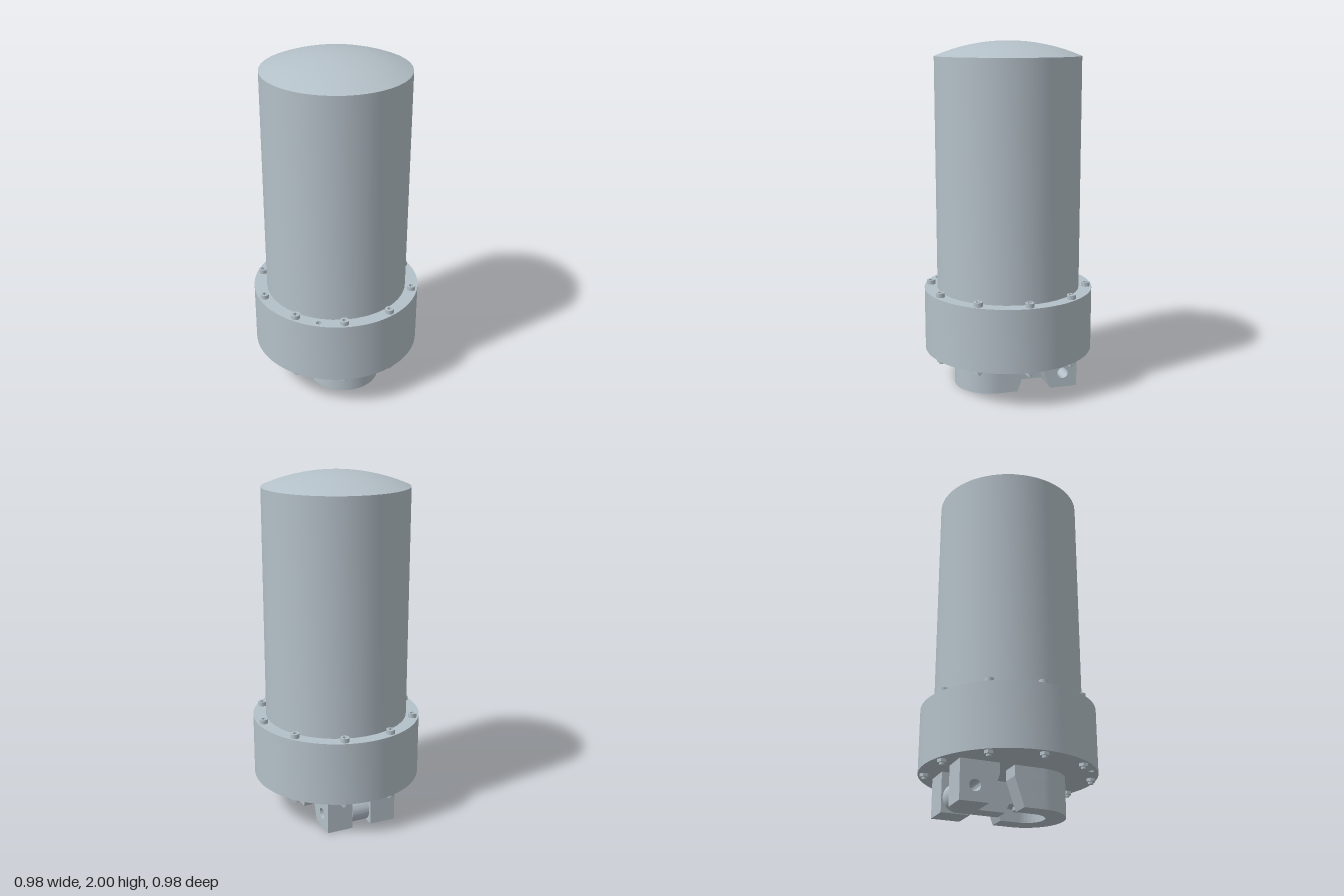
import * as THREE from 'three';
import { toCreasedNormals } from 'three/addons/utils/BufferGeometryUtils.js';

export function createModel() {
  const model = new THREE.Group();
  model.name = 'canisterUnit';
  const steel = new THREE.MeshStandardMaterial({ color: 0xb4c0c8 });
  steel.name = 'pale steel';

  const add = (geometry, name, parent = model) => {
    const mesh = new THREE.Mesh(toCreasedNormals(geometry, 0.5), steel);
    mesh.name = name;
    parent.add(mesh);
    return mesh;
  };
  const circleHole = (x, y, r) => new THREE.Path().absarc(x, y, r, 0, Math.PI * 2, true);

  // Plan shape (x, -z) raised from y0 to y1
  const raise = (shape, y0, y1, segments = 12) =>
    new THREE.ExtrudeGeometry(shape, { depth: y1 - y0, bevelEnabled: false, curveSegments: segments })
      .rotateX(-Math.PI / 2).translate(0, y0, 0);
  // Side profile (z, y) spread across x0 to x1
  const spread = (shape, x0, x1) =>
    new THREE.ExtrudeGeometry(shape, { depth: x1 - x0, bevelEnabled: false, curveSegments: 16 })
      .rotateY(-Math.PI / 2).translate(x1, 0, 0);

  // Tall housing with a shallow domed cap
  const R = 0.415, rise = 0.085, sphere = (R * R + rise * rise) / (2 * rise);
  const profile = [new THREE.Vector2(R, 0.5), new THREE.Vector2(R, 1.915)];
  add(new THREE.LatheGeometry(profile, 40), 'housing');
  const dome = [];
  for (let i = 0; i <= 8; i++) {
    const r = R * (1 - i / 8);
    dome.push(new THREE.Vector2(r, 2 - sphere + Math.sqrt(sphere * sphere - r * r)));
  }
  add(new THREE.LatheGeometry(dome, 40), 'domedCap');

  // Thick collar with one small vent hole
  const collar = new THREE.Shape().absarc(0, 0, 0.49, 0, Math.PI * 2, false);
  collar.holes.push(circleHole(-0.268, -0.366, 0.015));
  add(raise(collar, 0.22, 0.585, 48), 'collar');

  // Ten socket-head bolts with nuts and shank tips below
  const head = new THREE.Shape().absarc(0, 0, 0.025, 0, Math.PI * 2, false);
  const socket = new THREE.Path();
  for (let i = 0; i < 6; i++) {
    const a = -i * Math.PI / 3;
    socket[i ? 'lineTo' : 'moveTo'](0.014 * Math.cos(a), 0.014 * Math.sin(a));
  }
  socket.closePath();
  head.holes.push(socket);
  for (let i = 0; i < 10; i++) {
    const a = i * Math.PI / 5;
    const bolt = new THREE.Group();
    bolt.name = 'bolt' + (i + 1);
    bolt.position.set(0.455 * Math.cos(a), 0, 0.455 * Math.sin(a));
    add(raise(head, 0.58, 0.61, 10), 'boltHead', bolt);
    add(new THREE.CylinderGeometry(0.026, 0.026, 0.02, 6).translate(0, 0.212, 0), 'nut', bolt);
    add(new THREE.CylinderGeometry(0.014, 0.014, 0.04, 12).translate(0, 0.21, 0), 'shankTip', bolt);
    model.add(bolt);
  }

  // Horseshoe socket, open to the back; its leg ends slope below y = 0.16
  const horseshoe = new THREE.Shape();
  horseshoe.moveTo(-0.212, 0.055);
  horseshoe.lineTo(-0.212, -0.11);
  horseshoe.absarc(0, -0.11, 0.212, Math.PI, Math.PI * 2, false);
  horseshoe.lineTo(0.212, 0.055);
  horseshoe.lineTo(0.1, 0.055);
  horseshoe.lineTo(0.1, -0.11);
  horseshoe.absarc(0, -0.11, 0.1, 0, Math.PI, true);
  horseshoe.lineTo(-0.1, 0.055);
  horseshoe.closePath();
  add(raise(horseshoe, 0.16, 0.225, 20), 'horseshoeRoot');
  const lower = raise(horseshoe, 0, 0.16, 20);
  const pos = lower.attributes.position;
  for (let i = 0; i < pos.count; i++) {
    if (pos.getZ(i) < -0.05) pos.setZ(i, -0.055 * pos.getY(i) / 0.16);
  }
  add(lower, 'horseshoe');

  // Pair of clevis lugs with a cross hole
  const lug = new THREE.Shape([[-0.36, 0], [-0.197, 0], [-0.138, 0.16], [-0.138, 0.225], [-0.36, 0.225]]
    .map(([z, y]) => new THREE.Vector2(z, y)));
  lug.holes.push(circleHole(-0.275, 0.085, 0.032));
  add(spread(lug, 0.058, 0.212), 'leftLug');
  add(spread(lug, -0.212, -0.058), 'rightLug');

  // Link bar: round eye between the lugs, reaching forward into the horseshoe
  const link = new THREE.Shape();
  link.moveTo(-0.275, 0.003);
  link.lineTo(-0.04, 0.003);
  link.lineTo(-0.015, 0.055);
  link.lineTo(0.06, 0.055);
  link.lineTo(0.06, 0.16);
  link.lineTo(-0.275, 0.16);
  link.absarc(-0.275, 0.0815, 0.0785, Math.PI / 2, Math.PI * 1.5, false);
  link.holes.push(circleHole(-0.275, 0.085, 0.032));
  add(spread(link, -0.052, 0.052), 'linkBar');

  // Round stud at the end of the link
  add(new THREE.CylinderGeometry(0.052, 0.052, 0.105, 24).translate(0, 0.1075, 0.06), 'linkEnd');
  add(new THREE.CylinderGeometry(0.03, 0.03, 0.19, 20).translate(0, 0.13, 0.06), 'linkStud');

  return model;
}
